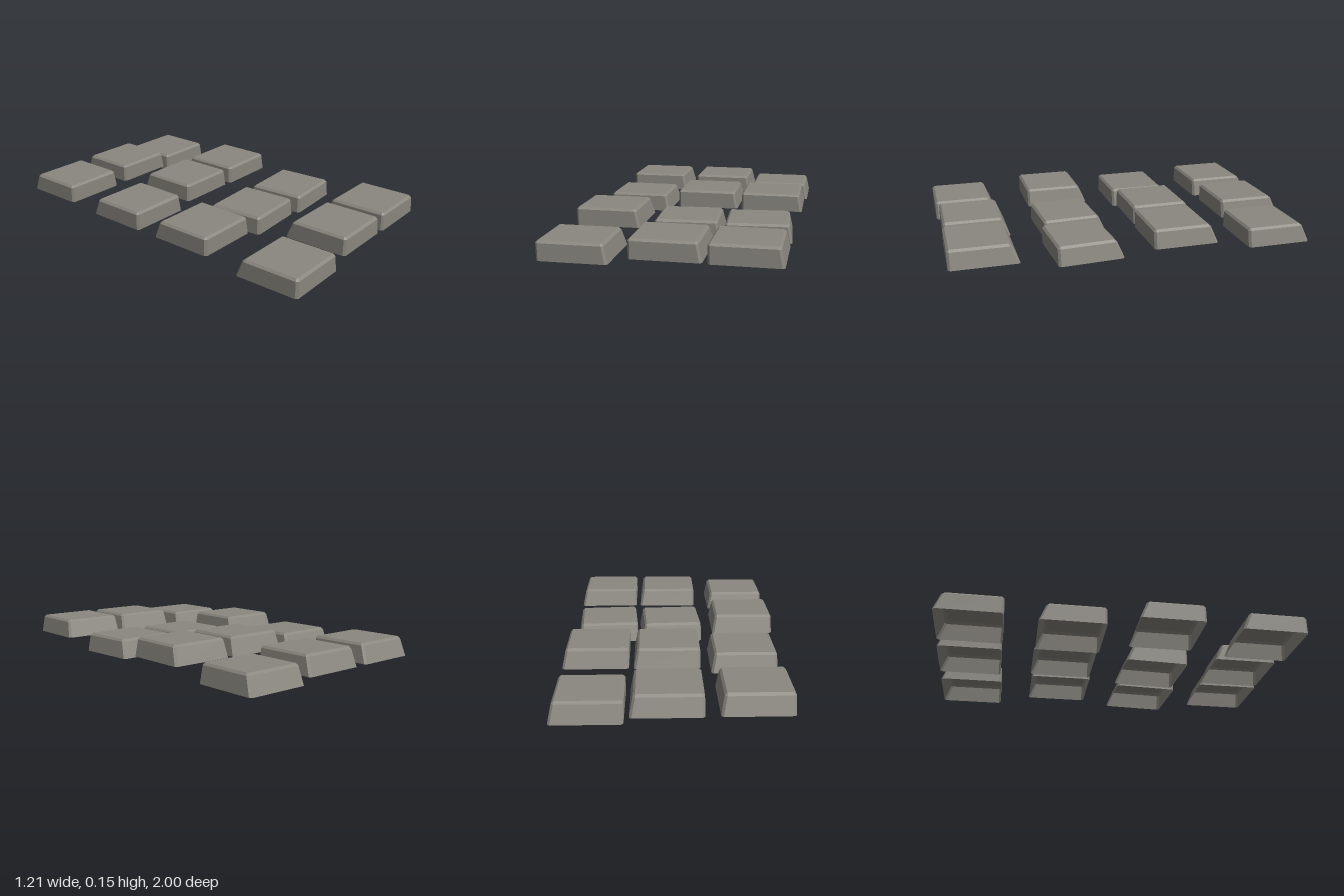
import * as THREE from 'three';

// One hollow cap: stacked rectangular sections with cut corners, open below
const sections = [
  // y, xMin, xMax, zMin, zMax, corner cut
  [0, -0.18, 0.18, -0.18, 0.18, 0.012],
  [0.09, -0.18, 0.162, -0.143, 0.18, 0.012],
  [0.102, -0.168, 0.15, -0.128, 0.168, 0.003],
];

function ring([y, x0, x1, z0, z1, c]) {
  return [
    [x0 + c, z1], [x1 - c, z1], [x1, z1 - c], [x1, z0 + c],
    [x1 - c, z0], [x0 + c, z0], [x0, z0 + c], [x0, z1 - c],
  ].map(([x, z]) => [x, y, z]);
}

function capGeometry() {
  const rings = sections.map(ring);
  const n = 8;
  const pos = [];
  const tri = (a, b, c) => pos.push(...a, ...b, ...c);
  // Side walls and top bevel
  for (let r = 0; r < rings.length - 1; r++) {
    for (let i = 0; i < n; i++) {
      const j = (i + 1) % n;
      const [a, b, c, d] = [rings[r][i], rings[r][j], rings[r + 1][j], rings[r + 1][i]];
      tri(a, b, c);
      tri(a, c, d);
    }
  }
  // Flat top
  const top = rings[rings.length - 1];
  for (let i = 1; i < n - 1; i++) tri(top[0], top[i], top[i + 1]);
  const g = new THREE.BufferGeometry();
  g.setAttribute('position', new THREE.Float32BufferAttribute(pos, 3));
  g.computeVertexNormals();
  return g;
}

// x, y, z, turn in degrees; four rows of three, back to front
const caps = [
  [-0.402, 0.034, -0.803, 1.2], [0.032, 0.035, -0.818, 1.0], [0.418, 0, -0.818, 1.0],
  [-0.388, 0.016, -0.263, 1.0], [0.032, 0.047, -0.275, 1.2], [0.418, 0.047, -0.275, 1.2],
  [-0.422, 0.047, 0.262, 1.0], [0.012, 0, 0.248, 4.2], [0.397, 0, 0.246, 4.6],
  [-0.422, 0.016, 0.815, 1.4], [0.032, 0.047, 0.79, 1.0], [0.418, 0.047, 0.79, 1.0],
];

export function createModel() {
  const group = new THREE.Group();
  group.name = 'keypad';
  const warmGrey = new THREE.MeshStandardMaterial({ color: 0x8a877f, side: THREE.DoubleSide });
  warmGrey.name = 'warmGrey';
  const geometry = capGeometry();
  caps.forEach(([x, y, z, turn], i) => {
    const cap = new THREE.Mesh(geometry, warmGrey);
    cap.name = `keycapRow${Math.floor(i / 3) + 1}Column${(i % 3) + 1}`;
    cap.position.set(x, y, z);
    cap.rotation.y = THREE.MathUtils.degToRad(turn);
    group.add(cap);
  });
  return group;
}
